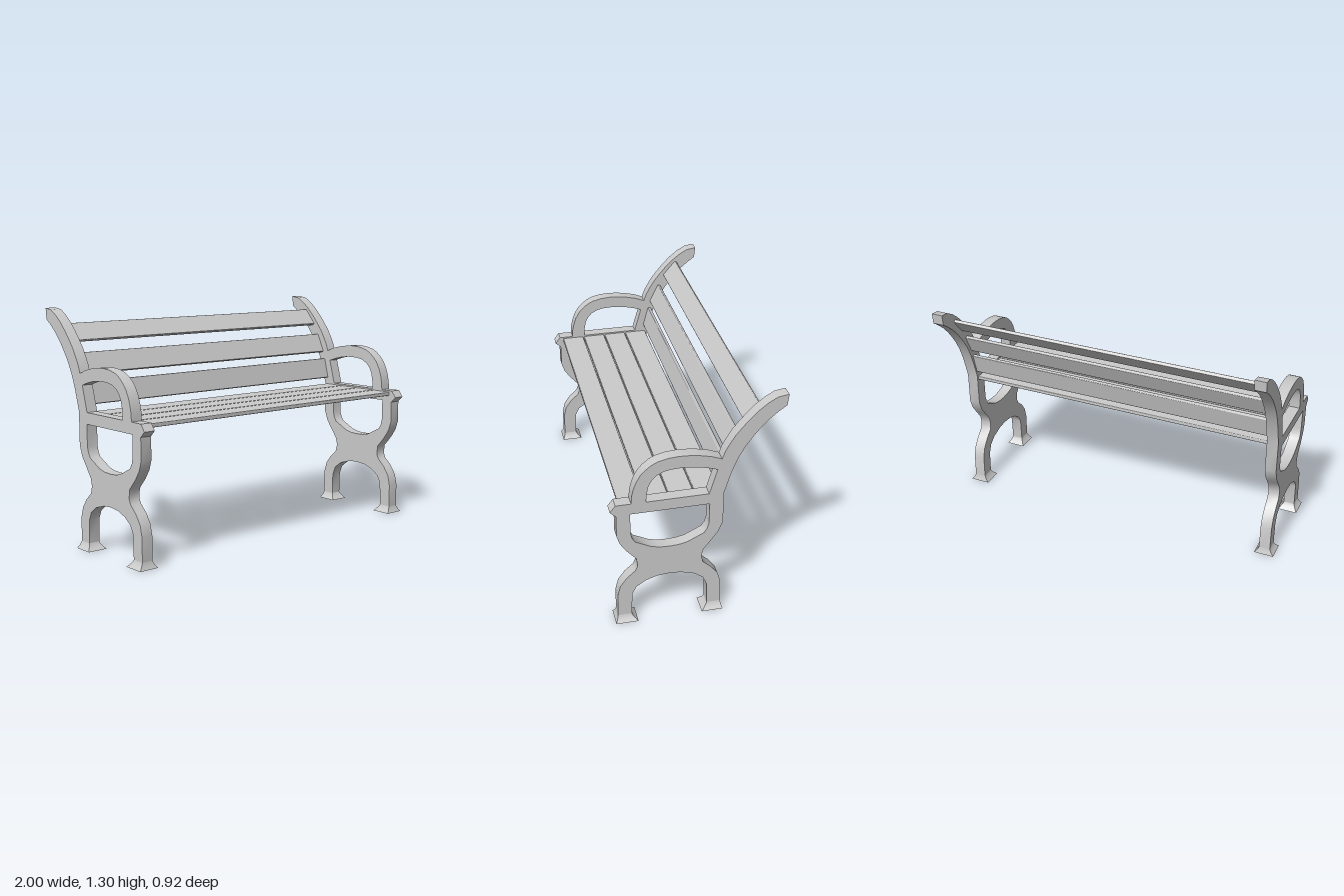
import * as THREE from 'three';
import { toCreasedNormals } from 'three/addons/utils/BufferGeometryUtils.js';
import { RoundedBoxGeometry } from 'three/addons/geometries/RoundedBoxGeometry.js';

const material = new THREE.MeshStandardMaterial({ color: 0xcccccc });
const FRAME_X = 0.9425, FRAME_W = 0.065, FOOT_H = 0.04;

const points = (list) => list.map(([z, y]) => new THREE.Vector2(z, y));

function addMesh(parent, name, geometry) {
  const mesh = new THREE.Mesh(geometry, material);
  mesh.name = name;
  parent.add(mesh);
  return mesh;
}

// Side profiles as [z, y]
const legsFront = [
  [0.427, FOOT_H], [0.427, 0.173], [0.412, 0.235], [0.376, 0.287], [0.33, 0.328],
  [0.317, 0.358], [0.324, 0.408], [0.376, 0.467], [0.41, 0.518], [0.427, 0.57],
  [0.427, 0.695], [0.459, 0.726], [0.43, 0.764], [0.348, 0.764],
];
const armTop = [
  [0.345, 0.81], [0.336, 0.85], [0.322, 0.89], [0.3, 0.93], [0.274, 0.958], [0.243, 0.983],
  [0.21, 1.0], [0.157, 1.013], [0.1, 1.017], [0.045, 1.014], [-0.01, 1.006], [-0.068, 0.992], [-0.124, 0.97],
];
const backrest = [
  [-0.14, 1.014], [-0.162, 1.055], [-0.19, 1.1], [-0.224, 1.143], [-0.263, 1.188], [-0.307, 1.232],
  [-0.354, 1.269], [-0.403, 1.297], [-0.459, 1.305], [-0.452, 1.243], [-0.41, 1.213], [-0.362, 1.173],
  [-0.318, 1.127], [-0.28, 1.078], [-0.244, 1.027], [-0.214, 0.972], [-0.193, 0.925], [-0.174, 0.872], [-0.141, 0.761],
];
const legsRear = [
  [-0.14, 0.574], [-0.117, 0.515], [-0.076, 0.46], [-0.038, 0.408], [-0.028, 0.367],
  [-0.038, 0.325], [-0.083, 0.284], [-0.12, 0.235], [-0.138, 0.176], [-0.14, FOOT_H],
];
const legArch = [
  [-0.065, FOOT_H], [-0.062, 0.166], [-0.04, 0.218], [0.007, 0.253], [0.083, 0.276],
  [0.143, 0.281], [0.214, 0.275], [0.276, 0.253], [0.324, 0.22], [0.347, 0.176], [0.352, FOOT_H],
];
const lowerHole = [
  [0.354, 0.7], [-0.066, 0.7], [-0.065, 0.577], [-0.056, 0.545], [-0.04, 0.519], [0.05, 0.474],
  [0.095, 0.464], [0.143, 0.461], [0.195, 0.464], [0.242, 0.474], [0.33, 0.519], [0.346, 0.548], [0.353, 0.58],
];
const armHole = [
  [0.27, 0.764], [-0.062, 0.764], [-0.103, 0.908], [-0.055, 0.924], [-0.007, 0.936], [0.045, 0.944],
  [0.09, 0.946], [0.138, 0.944], [0.176, 0.937], [0.218, 0.917], [0.242, 0.89], [0.258, 0.858], [0.268, 0.81],
];

function frameGeometry() {
  const shape = new THREE.Shape(points([...legsFront, ...armTop, ...backrest, ...legsRear, ...legArch]));
  shape.holes = [lowerHole, armHole].map((h) => new THREE.Path(points(h)));
  const g = new THREE.ExtrudeGeometry(shape, { depth: FRAME_W, bevelEnabled: false });
  g.translate(0, 0, -FRAME_W / 2);
  g.rotateY(-Math.PI / 2);
  return toCreasedNormals(g, 0.6);
}

// Foot that flares outward toward the ground, from z range "top" to z range "base"
function footGeometry(top, base) {
  const g = new THREE.BoxGeometry(1, FOOT_H, 1, 1, 4, 1);
  const p = g.attributes.position;
  for (let i = 0; i < p.count; i++) {
    const t = 0.5 - p.getY(i) / FOOT_H;
    const flare = Math.pow(t, 1.4);
    const side = p.getZ(i) > 0 ? 1 : 0;
    p.setX(i, Math.sign(p.getX(i)) * THREE.MathUtils.lerp(FRAME_W / 2, 0.0575, flare));
    p.setZ(i, THREE.MathUtils.lerp(top[side], base[side], flare));
  }
  g.translate(0, FOOT_H / 2, 0);
  return toCreasedNormals(g, 0.6);
}

export function createModel() {
  const bench = new THREE.Group();
  bench.name = 'bench';

  // Cast end frames with flared feet
  const frame = frameGeometry();
  const frontFoot = footGeometry([0.352, 0.427], [0.32, 0.442]);
  const rearFoot = footGeometry([-0.14, -0.065], [-0.15, -0.033]);
  for (const [name, s] of [['left', 1], ['right', -1]]) {
    const end = new THREE.Group();
    end.name = name + 'End';
    end.position.x = s * FRAME_X;
    addMesh(end, name + 'Frame', frame);
    addMesh(end, name + 'FrontFoot', frontFoot);
    addMesh(end, name + 'RearFoot', rearFoot);
    bench.add(end);
  }

  // Planks span between the frames
  const plank = (height, depth) => new RoundedBoxGeometry(1.83, height, depth, 1, 0.005);

  // Seat planks
  for (let i = 0; i < 4; i++) {
    const slat = addMesh(bench, 'seatSlat' + (i + 1), plank(0.022, 0.13));
    slat.position.set(0, 0.744, 0.344 - i * 0.136);
  }

  // Back planks, leaning further back as they rise: [y, z, height, lean in degrees]
  [
    [0.855, -0.145, 0.126, 15],
    [1.013, -0.199, 0.123, 26],
    [1.175, -0.297, 0.119, 41],
  ].forEach(([y, z, height, lean], i) => {
    const slat = addMesh(bench, 'backSlat' + (i + 1), plank(height, 0.021));
    slat.position.set(0, y, z);
    slat.rotation.x = -THREE.MathUtils.degToRad(lean);
  });

  return bench;
}
